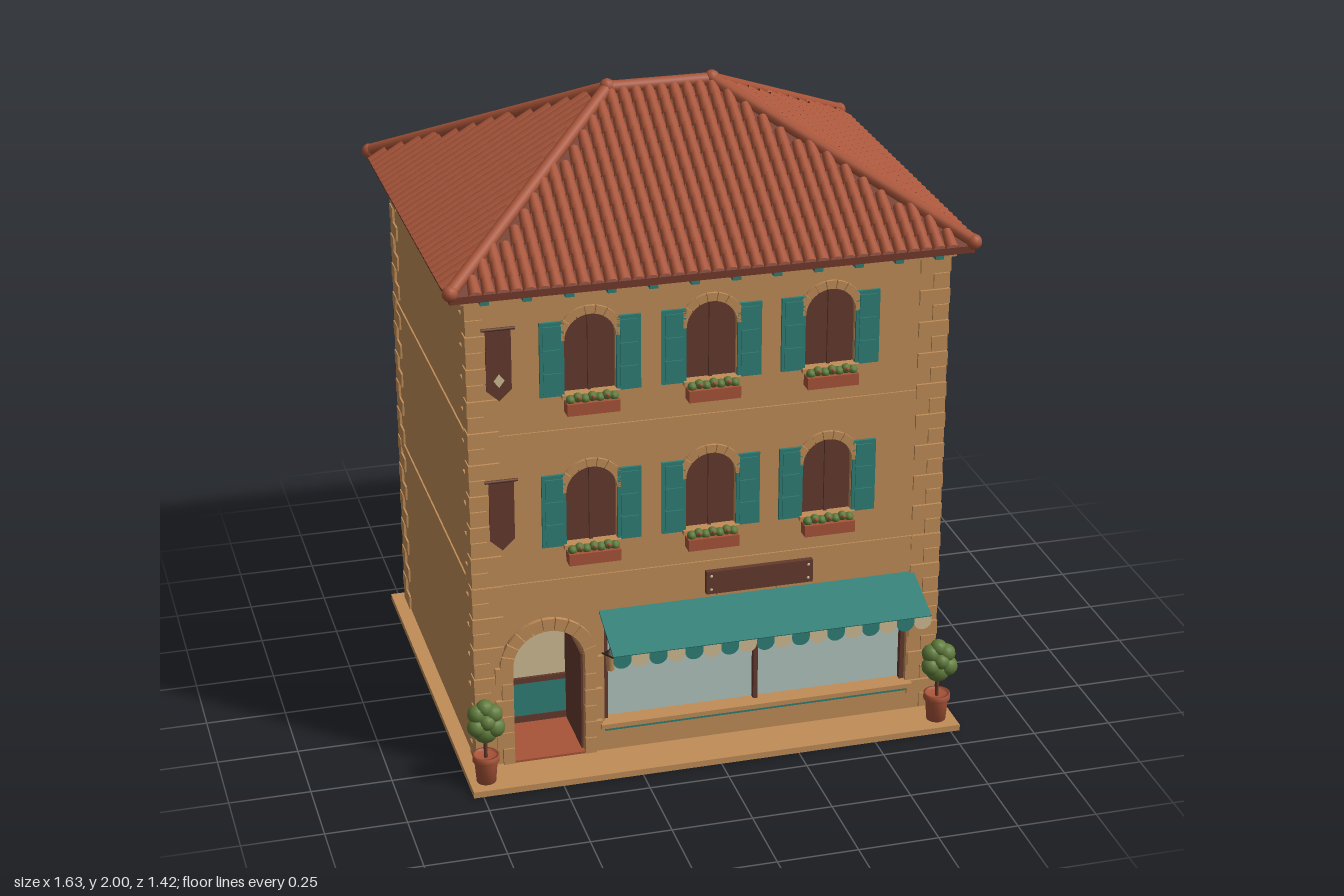
import * as THREE from 'three';
import { mergeGeometries } from 'three/addons/utils/BufferGeometryUtils.js';
import { ConvexGeometry } from 'three/addons/geometries/ConvexGeometry.js';

const M = {};
const paint = (name, color, extra) => { M[name] = new THREE.MeshStandardMaterial({ color, name, ...extra }); };
paint('plaster', 0xc08d58);
paint('terracotta', 0xa85438);
paint('roofUnderlay', 0x73392a);
paint('darkWood', 0x633a2e);
paint('teal', 0x2f7f76, { side: THREE.DoubleSide });
paint('glass', 0xb4c6c1);
paint('cream', 0xd0bc94, { side: THREE.DoubleSide });
paint('leaf', 0x5f7a3a);
paint('iron', 0x33291f);
paint('tile', 0xa85438, { side: THREE.DoubleSide });

const add = (parent, name, geo, mat, x = 0, y = 0, z = 0) => {
  const m = new THREE.Mesh(geo, M[mat]);
  m.name = name;
  m.position.set(x, y, z);
  parent.add(m);
  return m;
};
// Box given by its limits on each axis
const box = (parent, name, mat, x0, x1, y0, y1, z0, z1) =>
  add(parent, name, new THREE.BoxGeometry(x1 - x0, y1 - y0, z1 - z0), mat, (x0 + x1) / 2, (y0 + y1) / 2, (z0 + z1) / 2);
const rod = (parent, name, mat, a, b, r, sides = 10) => {
  const d = new THREE.Vector3().subVectors(b, a);
  const m = add(parent, name, new THREE.CylinderGeometry(r, r, d.length(), sides), mat);
  m.position.copy(a).addScaledVector(d, 0.5);
  m.quaternion.setFromUnitVectors(new THREE.Vector3(0, 1, 0), d.normalize());
};
const V = (x, y, z) => new THREE.Vector3(x, y, z);
const extrude = (shape, depth) => new THREE.ExtrudeGeometry(shape, { depth, bevelEnabled: false, curveSegments: 10 });
const archPath = (C, x, y0, spring, r) => {
  const p = new C();
  p.moveTo(x - r, y0); p.lineTo(x + r, y0); p.lineTo(x + r, spring);
  p.absarc(x, spring, r, 0, Math.PI, false);
  p.lineTo(x - r, y0);
  return p;
};
const rectPath = (C, x0, x1, y0, y1) =>
  new C([[x0, y0], [x1, y0], [x1, y1], [x0, y1]].map(p => new THREE.Vector2(...p)));

const FRONT = 0.525, BACK = -0.635, MID = -0.055, HX = 0.735;
const WINDOWS = [];
for (const y of [1.24, 0.75]) for (const x of [-0.37, 0, 0.368]) WINDOWS.push([x, y]);

// Ring of wedge stones around an arch
function archStones(parent, x, y, r0, r1, n, depth) {
  for (let i = 0; i < n; i++) {
    const a = Math.PI * (i + 0.04) / n, b = Math.PI * (i + 0.96) / n, s = new THREE.Shape();
    s.absarc(x, y, r1, a, b, false);
    s.absarc(x, y, r0, b, a, true);
    s.closePath();
    add(parent, 'archStone', extrude(s, depth), 'plaster', 0, 0, FRONT - 0.005);
  }
}

function buildWalls(g) {
  box(g, 'pavement', 'plaster', -0.78, 0.78, 0, 0.02, -0.68, 0.67);
  box(g, 'houseBody', 'plaster', -HX, HX, 0.01, 1.58, BACK, 0.29);
  const s = rectPath(THREE.Shape, -HX, HX, 0.01, 1.58);
  s.holes.push(archPath(THREE.Path, -0.51, 0.024, 0.355, 0.112));
  s.holes.push(rectPath(THREE.Path, -0.335, 0.645, 0.12, 0.46));
  for (const [x, y] of WINDOWS) s.holes.push(archPath(THREE.Path, x, y, y + 0.168, 0.078));
  add(g, 'frontWall', extrude(s, FRONT - 0.29), 'plaster', 0, 0, 0.29);
  // Floor bands and cornice
  for (const y of [0.605, 1.097])
    box(g, 'floorBand', 'plaster', -HX - 0.005, HX + 0.005, y, y + 0.028, BACK - 0.005, FRONT + 0.005);
  box(g, 'cornice', 'plaster', -HX - 0.02, HX + 0.02, 1.555, 1.58, BACK - 0.02, FRONT + 0.02);
  // Corner stones, long and short in turn
  const n = 30, pitch = 1.53 / n;
  for (let i = 0; i < n; i++) {
    const lx = i % 2 ? 0.095 : 0.05, lz = i % 2 ? 0.05 : 0.095, y = 0.022 + i * pitch, o = i % 2 ? 0.008 : 0.006;
    for (const sx of [-1, 1]) for (const sz of [-1, 1]) {
      const edge = sz > 0 ? FRONT + o : BACK - o;
      add(g, 'cornerStone', new THREE.BoxGeometry(lx, pitch - 0.004, lz), 'plaster',
        sx * (HX + o - lx / 2), y + pitch / 2, edge - sz * lz / 2);
    }
  }
}

function buildRoof(g) {
  const roof = new THREE.Group();
  roof.name = 'roof';
  roof.position.z = MID;
  g.add(roof);
  const EX = 0.795, EZ = 0.643, RX = 0.165, Y0 = 1.6, Y1 = 1.962;
  const pts = [V(-RX, Y1, 0), V(RX, Y1, 0)];
  for (const x of [-EX, EX]) for (const z of [-EZ, EZ]) pts.push(V(x, Y0, z), V(x, 1.578, z));
  add(roof, 'roofDeck', new ConvexGeometry(pts), 'roofUnderlay');
  // Barrel tiles on each slope
  const tiles = [], rows = 13, step = 0.04;
  const slope = (eave, top, wEave, wTop, turn) => {
    const run = eave - top, len = Math.hypot(run, Y1 - Y0), pitch = len / rows;
    const tile = new THREE.CylinderGeometry(0.0155, 0.02, pitch * 1.15, 6, 1, true, -Math.PI / 2, Math.PI);
    tile.rotateX(0.09);
    const up = V(0, (Y1 - Y0) / len, -run / len), out = V(1, 0, 0).cross(up);
    const spin = new THREE.Matrix4().makeRotationY(turn);
    for (let r = 0; r < rows; r++) {
      const t = (r + 0.5) / rows, half = wEave + (wTop - wEave) * (r + 0.75) / rows - 0.015;
      const n = Math.floor(half / step);
      for (let c = -n; c <= n; c++) {
        const m = new THREE.Matrix4().makeBasis(V(1, 0, 0), up, out);
        m.setPosition(V(c * step, Y0, eave).addScaledVector(up, t * len).addScaledVector(out, 0.005));
        tiles.push(tile.clone().applyMatrix4(m.premultiply(spin)));
      }
    }
  };
  for (const k of [0, 2]) {
    slope(EZ, 0, EX, RX, k * Math.PI / 2);
    slope(EX, RX, EZ, 0, (k + 1) * Math.PI / 2);
  }
  add(roof, 'roofTiles', mergeGeometries(tiles), 'tile');
  // Ridge and hip caps
  const knob = (x, y, z) => add(roof, 'ridgeKnob', new THREE.SphereGeometry(0.024, 12, 8), 'terracotta', x, y, z);
  rod(roof, 'ridgeCap', 'terracotta', V(-RX, 1.972, 0), V(RX, 1.972, 0), 0.02);
  for (const sx of [-1, 1]) {
    knob(sx * RX, 1.976, 0);
    for (const sz of [-1, 1]) {
      rod(roof, 'hipCap', 'terracotta', V(sx * EX, 1.612, sz * EZ), V(sx * RX, 1.972, 0), 0.02);
      knob(sx * (EX - 0.003), 1.612, sz * (EZ - 0.003));
    }
  }
  // Eave brackets
  for (const s of [-1, 1]) {
    for (let i = 0; i < 12; i++)
      add(roof, 'eaveBracket', new THREE.BoxGeometry(0.026, 0.02, 0.05), 'teal', -0.69 + i * 1.38 / 11, 1.571, s * 0.605);
    for (let i = 0; i < 9; i++)
      add(roof, 'eaveBracket', new THREE.BoxGeometry(0.045, 0.02, 0.026), 'teal', s * 0.765, 1.571, -0.53 + i * 1.06 / 8);
  }
}

function buildWindow(g, x, y) {
  const w = new THREE.Group();
  w.name = 'archedWindow';
  g.add(w);
  add(w, 'windowPanel', extrude(archPath(THREE.Shape, x, y, y + 0.168, 0.078), 0.015), 'darkWood', 0, 0, 0.495);
  box(w, 'windowMullion', 'darkWood', x - 0.005, x + 0.005, y, y + 0.243, 0.51, 0.518);
  archStones(w, x, y + 0.168, 0.078, 0.104, 9, 0.014);
  for (const s of [-1, 1]) {
    const c = x + s * 0.116;
    box(w, 'shutter', 'teal', c - 0.037, c + 0.037, y - 0.005, y + 0.23, FRONT, FRONT + 0.009);
    for (let i = 0; i < 3; i++)
      box(w, 'shutterPanel', 'teal', c - 0.027, c + 0.027, y + 0.006 + i * 0.074, y + 0.07 + i * 0.074, FRONT, FRONT + 0.013);
  }
  box(w, 'windowSill', 'plaster', x - 0.088, x + 0.088, y - 0.014, y, 0.51, FRONT + 0.02);
  box(w, 'flowerBox', 'terracotta', x - 0.08, x + 0.08, y - 0.057, y - 0.02, FRONT + 0.003, FRONT + 0.046);
  for (let i = 0; i < 7; i++) {
    const px = x - 0.066 + i * 0.022;
    add(w, 'flowerBoxPlant', new THREE.SphereGeometry(0.015, 8, 6), 'leaf', px, y - 0.013 + (i % 2) * 0.006, FRONT + 0.026);
    if (i % 2) add(w, 'blossom', new THREE.SphereGeometry(0.006, 6, 5), 'terracotta', px, y - 0.004, FRONT + 0.04);
  }
}

function buildBanner(g, y, emblem) {
  const x = -0.645, pts = [[-0.038, 0.23], [-0.038, 0.035], [0, 0], [0.038, 0.035], [0.038, 0.23]];
  const s = new THREE.Shape(pts.map(p => new THREE.Vector2(...p)));
  add(g, 'banner', extrude(s, 0.006), 'darkWood', x, y, FRONT + 0.003);
  rod(g, 'bannerRod', 'darkWood', V(x - 0.05, y + 0.228, FRONT + 0.01), V(x + 0.05, y + 0.228, FRONT + 0.01), 0.005);
  add(g, 'bannerDiamond', new THREE.CircleGeometry(0.022, 4), emblem, x, y + 0.065, FRONT + 0.011).scale.x = 0.75;
}

function buildDoor(g) {
  const x = -0.51;
  box(g, 'hallWall', 'cream', x - 0.112, x + 0.112, 0.02, 0.47, 0.285, 0.295);
  box(g, 'hallPanel', 'teal', x - 0.112, x + 0.112, 0.05, 0.165, 0.295, 0.302);
  for (const [a, b] of [[0.02, 0.05], [0.165, 0.183]]) box(g, 'hallRail', 'darkWood', x - 0.112, x + 0.112, a, b, 0.295, 0.305);
  box(g, 'doorFloor', 'terracotta', x - 0.112, x + 0.112, 0.02, 0.027, 0.29, FRONT + 0.005);
  for (const s of [-1, 1])
    add(g, 'openDoorLeaf', new THREE.BoxGeometry(0.007, 0.33, 0.215), 'darkWood', x + s * 0.109, 0.192, 0.4);
  add(g, 'hallLamp', new THREE.ConeGeometry(0.02, 0.025, 10), 'darkWood', x + 0.055, 0.42, 0.4);
  archStones(g, x, 0.355, 0.112, 0.152, 11, 0.02);
  for (let i = 0; i < 6; i++) for (const s of [-1, 1]) {
    const w = i % 2 ? 0.055 : 0.035;
    add(g, 'doorJambStone', new THREE.BoxGeometry(w, 0.053, 0.02), 'plaster', x + s * (0.112 + w / 2), 0.05 + i * 0.056, FRONT + 0.004);
  }
}

function buildShop(g) {
  box(g, 'shopGlass', 'glass', -0.335, 0.645, 0.12, 0.46, 0.475, 0.49);
  for (const x of [-0.327, 0.155, 0.637]) box(g, 'shopMullion', 'darkWood', x - 0.007, x + 0.007, 0.12, 0.46, 0.49, 0.51);
  box(g, 'shopSill', 'plaster', -0.35, 0.66, 0.107, 0.122, 0.49, 0.55);
  box(g, 'shopSillTrim', 'teal', -0.335, 0.645, 0.093, 0.107, FRONT, 0.537);
  // Sloping awning with a scalloped edge
  const A = V(0, 0.505, FRONT), B = V(0, 0.437, 0.7), x0 = -0.35, x1 = 0.66, n = 18, w = (x1 - x0) / n;
  const sheet = add(g, 'awning', new THREE.BoxGeometry(x1 - x0, 0.006, A.distanceTo(B)), 'teal', (x0 + x1) / 2, 0.471, 0.6125);
  sheet.rotation.x = Math.atan2(0.068, 0.175);
  for (let i = 0; i < n; i++) {
    const s = new THREE.Shape();
    s.moveTo(w / 2, 0.44); s.lineTo(-w / 2, 0.44); s.lineTo(-w / 2, 0.422);
    s.absellipse(0, 0.422, w / 2, 0.026, Math.PI, Math.PI * 2, false);
    add(g, 'awningScallop', new THREE.ShapeGeometry(s, 8), i % 2 ? 'cream' : 'teal', x0 + (i + 0.5) * w, 0, 0.7);
  }
  for (const x of [x0 + 0.01, x1 - 0.01]) rod(g, 'awningStrut', 'iron', V(x, 0.36, FRONT), V(x, 0.428, 0.697), 0.003, 6);
  rod(g, 'awningBar', 'iron', V(x0 + 0.01, 0.428, 0.695), V(x1 - 0.01, 0.428, 0.695), 0.003, 6);
  // Sign board
  box(g, 'signBoard', 'darkWood', -0.015, 0.325, 0.525, 0.6, FRONT, FRONT + 0.018);
  for (const x of [0.0, 0.31]) for (const y of [0.54, 0.585])
    add(g, 'signStud', new THREE.SphereGeometry(0.005, 6, 5), 'cream', x, y, FRONT + 0.018);
  for (const x of [0.06, 0.25]) box(g, 'signBracket', 'plaster', x - 0.04, x + 0.04, 0.514, 0.525, FRONT, FRONT + 0.012);
  // Hanging lantern
  rod(g, 'lanternArm', 'iron', V(-0.325, 0.415, FRONT), V(-0.325, 0.415, 0.57), 0.004, 6);
  rod(g, 'lanternHook', 'iron', V(-0.325, 0.385, 0.565), V(-0.325, 0.415, 0.565), 0.003, 6);
  add(g, 'lanternCap', new THREE.ConeGeometry(0.02, 0.018, 8), 'iron', -0.325, 0.386, 0.565);
  add(g, 'lanternBody', new THREE.CylinderGeometry(0.016, 0.012, 0.056, 8), 'plaster', -0.325, 0.35, 0.565);
}

function buildPottedBush(g, x) {
  const p = new THREE.Group();
  p.name = 'pottedBush';
  p.position.set(x, 0.02, 0.608);
  g.add(p);
  const profile = [[0, 0], [0.03, 0], [0.036, 0.07], [0.042, 0.072], [0.042, 0.092], [0.034, 0.092], [0.034, 0.082], [0, 0.082]];
  add(p, 'pot', new THREE.LatheGeometry(profile.map(q => new THREE.Vector2(...q)), 16), 'terracotta');
  rod(p, 'stem', 'darkWood', V(0, 0.08, 0), V(0, 0.16, 0), 0.006, 8);
  const puffs = [[0, 0.175, 0, 0.04], [-0.028, 0.195, 0.012, 0.03], [0.028, 0.19, 0.012, 0.032], [0, 0.205, -0.014, 0.032],
    [-0.024, 0.233, 0, 0.03], [0.024, 0.232, 0.005, 0.03], [0, 0.25, 0, 0.028], [0.003, 0.212, 0.02, 0.026]];
  for (const [a, b, c, r] of puffs) add(p, 'foliage', new THREE.SphereGeometry(r, 12, 8), 'leaf', a, b, c);
}

export function createModel() {
  const g = new THREE.Group();
  g.name = 'townHouse';
  buildWalls(g);
  buildRoof(g);
  for (const [x, y] of WINDOWS) buildWindow(g, x, y);
  buildBanner(g, 1.24, 'cream');
  buildBanner(g, 0.755, 'darkWood');
  buildDoor(g);
  buildShop(g);
  for (const x of [-0.728, 0.722]) buildPottedBush(g, x);
  return g;
}
